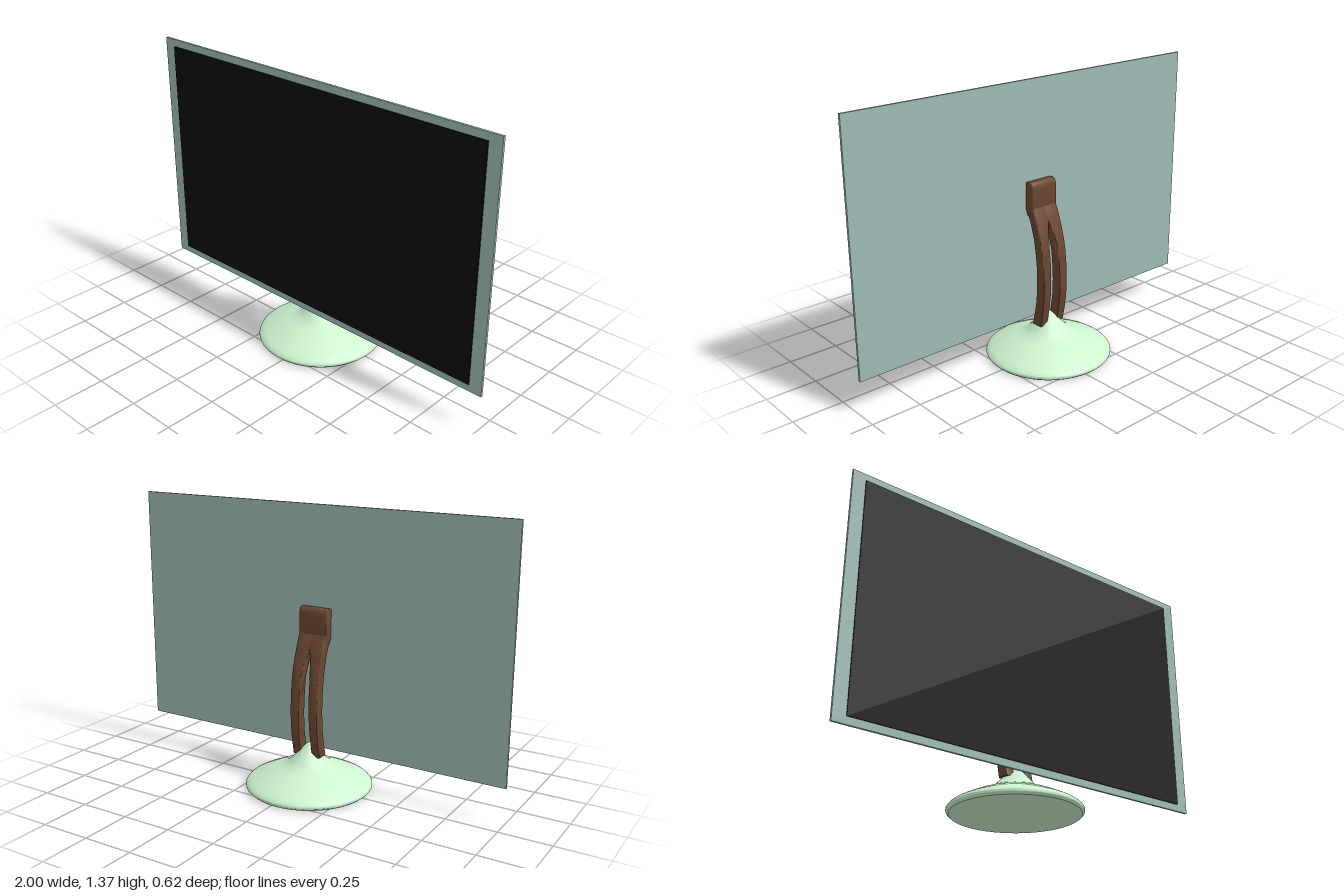
import * as THREE from 'three';
import { toCreasedNormals } from 'three/addons/utils/BufferGeometryUtils.js';

const mat = (color) => new THREE.MeshStandardMaterial({ color });
const vecs = (pts) => pts.map(([a, b]) => new THREE.Vector2(a, b));

function addMesh(parent, name, geometry, material) {
  const mesh = new THREE.Mesh(geometry, material);
  mesh.name = name;
  parent.add(mesh);
  return mesh;
}

// Extrudes a (z, y) side outline across x from 0 to width, with softened edges
function sideExtrude(shape, width, bevel) {
  const geo = new THREE.ExtrudeGeometry(shape, {
    depth: width - 2 * bevel, bevelThickness: bevel, bevelSize: bevel,
    bevelOffset: -bevel, bevelSegments: 3, curveSegments: 8,
  });
  geo.translate(0, 0, bevel);
  geo.rotateY(-Math.PI / 2);
  geo.translate(width, 0, 0);
  return geo;
}

export function createModel() {
  const model = new THREE.Group();
  model.name = 'monitor';
  const frameMat = mat(0x9dbab4);
  const screenMat = mat(0x0c0c0c);
  const standMat = mat(0x6b4630);
  const baseMat = mat(0xcdf3cf);

  // Thin panel with the dark screen on its front
  addMesh(model, 'panel', new THREE.BoxGeometry(2, 1.195, 0.012), frameMat).position.set(0, 0.7725, 0.085);
  addMesh(model, 'screen', new THREE.BoxGeometry(1.872, 1.125, 0.006), screenMat).position.set(0, 0.7725, 0.093);

  const stand = new THREE.Group();
  stand.name = 'stand';
  stand.position.x = -0.025;
  model.add(stand);

  // Round base: softly rolled rim, flaring up to a narrow peak
  const slope = new THREE.SplineCurve(vecs([
    [0.3, 0.002], [0.31, 0.013], [0.305, 0.027], [0.28, 0.045], [0.2, 0.083], [0.14, 0.106],
    [0.105, 0.125], [0.075, 0.153], [0.048, 0.182], [0.025, 0.207], [0.012, 0.22], [0, 0.224],
  ])).getPoints(44);
  const profile = [...vecs([[0, 0], [0.298, 0]]), ...slope];
  profile[profile.length - 1].x = 0;
  addMesh(stand, 'base', toCreasedNormals(new THREE.LatheGeometry(profile, 64), 0.7), baseMat);

  // Curved legs, separated by a slit that closes in an arch below the head
  const w = 0.075;
  const front = vecs([[0.034, 0.163], [0.018, 0.23], [0.006, 0.3], [0.001, 0.4], [0.006, 0.5], [0.022, 0.6], [0.05, 0.69], [0.078, 0.748]]);
  const back = vecs([[0.03, 0.765], [0.002, 0.7], [-0.03, 0.6], [-0.047, 0.5], [-0.053, 0.39], [-0.05, 0.31], [-0.041, 0.24], [-0.026, 0.163]]);
  const legShape = new THREE.Shape([
    ...new THREE.SplineCurve(front).getPoints(30),
    ...new THREE.SplineCurve(back).getPoints(30),
  ]);
  const slit = (y) => {
    const t = THREE.MathUtils.clamp((0.695 - y) / 0.14, 0, 1);
    return -0.009 + 0.033 * Math.sqrt(t) + 0.006 * THREE.MathUtils.clamp((0.5 - y) / 0.3, 0, 1);
  };
  for (const side of [-1, 1]) {
    const geo = sideExtrude(legShape, w, 0.007);
    const pos = geo.attributes.position;
    for (let i = 0; i < pos.count; i++) {
      const inner = slit(pos.getY(i));
      const x = (pos.getX(i) / w) * (w - inner);
      pos.setX(i, side > 0 ? inner + x : x - w);
    }
    addMesh(stand, side > 0 ? 'leftLeg' : 'rightLeg', toCreasedNormals(geo, 0.6), standMat);
  }

  // Head block that joins the legs to the back of the panel
  const headShape = new THREE.Shape();
  headShape.moveTo(0.079, 0.745);
  headShape.lineTo(0.079, 0.882);
  headShape.quadraticCurveTo(0.055, 0.894, 0.038, 0.883);
  headShape.quadraticCurveTo(0.028, 0.873, 0.028, 0.85);
  headShape.lineTo(0.028, 0.757);
  headShape.lineTo(0.04, 0.72);
  headShape.lineTo(0.064, 0.717);
  const head = sideExtrude(headShape, 2 * w, 0.005);
  head.translate(-w, 0, 0);
  addMesh(stand, 'head', toCreasedNormals(head, 0.6), standMat);

  return model;
}
